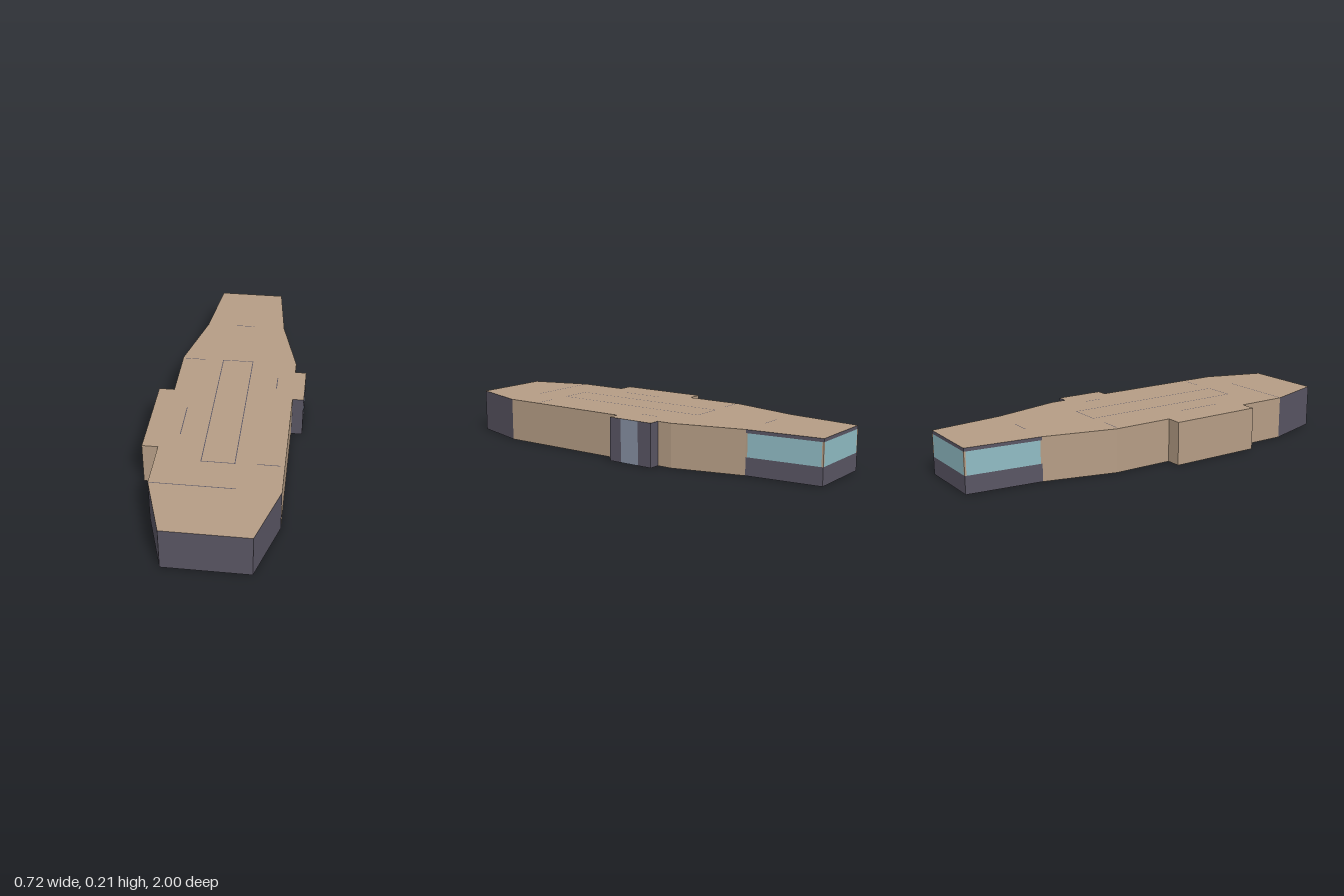
import * as THREE from 'three';

const H = 0.21;

export function createModel() {
  const make = (name, color) => {
    const m = new THREE.MeshStandardMaterial({ color });
    m.name = name;
    return m;
  };
  const tan = make('tan hull', 0xb59d85);
  const dark = make('dark plating', 0x595563);
  const glass = make('teal glass', 0x90bcc4);
  const door = make('blue grey door', 0x8690a3);

  const model = new THREE.Group();
  model.name = 'deckHull';
  const add = (name, geometry, material, parent = model) => {
    const mesh = new THREE.Mesh(geometry, material);
    mesh.name = name;
    parent.add(mesh);
    return mesh;
  };

  // Outline seen from above, starting at the bow: x, z, kind of the wall that follows
  const outline = [
    [-0.19, 1, 'bowWall'], [0.207, 1, 'bowWall'],
    [0.302, 0.705, 'sideWall'], [0.302, 0.013, 'airlockWall'],
    [0.357, 0.013, 'airlockDoorWall'], [0.357, -0.225, 'airlockWall'],
    [0.302, -0.225, 'sideWall'], [0.302, -0.3, 'sideWall'],
    [0.215, -0.642, 'windowWall'], [0.174, -1, 'windowWall'],
    [-0.16, -1, 'windowWall'], [-0.2, -0.642, 'sideWall'],
    [-0.285, -0.3, 'sideWall'], [-0.285, -0.005, 'sideWall'],
    [-0.36, -0.005, 'sideWall'], [-0.36, 0.455, 'sideWall'],
    [-0.285, 0.455, 'sideWall'], [-0.285, 0.705, 'bowWall'],
  ];

  // Each wall is tiled by panels: name, start and end along the wall (0..1), bottom, top, material
  const patterns = {
    bowWall: () => [['plating', 0, 1, 0, H, dark]],
    sideWall: () => [['hullPlate', 0, 1, 0, H, tan]],
    airlockWall: () => [['plating', 0, 1, 0, H, dark]],
    airlockDoorWall: () => [
      ['plating', 0, 0.27, 0, H, dark],
      ['door', 0.27, 0.69, 0, H, door],
      ['plating', 0.69, 1, 0, H, dark],
    ],
    windowWall: (length) => {
      const post = 0.008 / length;
      return [
        ['lowerBand', 0, 1, 0, 0.085, dark],
        ['windowPost', 0, post, 0.085, 0.194, tan],
        ['window', post, 1 - post, 0.085, 0.194, glass],
        ['windowPost', 1 - post, 1, 0.085, 0.194, tan],
        ['upperBand', 0, 1, 0.194, H, dark],
      ];
    },
  };

  outline.forEach(([x, z, kind], i) => {
    const [x2, z2] = outline[(i + 1) % outline.length];
    const dx = x2 - x, dz = z2 - z, length = Math.hypot(dx, dz);
    const wall = new THREE.Group();
    wall.name = kind;
    wall.position.set(x, 0, z);
    wall.rotation.y = Math.atan2(-dz, dx);
    model.add(wall);
    for (const [name, u0, u1, y0, y1, material] of patterns[kind](length)) {
      const panel = new THREE.PlaneGeometry((u1 - u0) * length, y1 - y0);
      panel.translate((u0 + u1) / 2 * length, (y0 + y1) / 2, 0);
      add(name, panel, material, wall);
    }
  });

  // Roof and underside share the outline
  const plan = (flip) => new THREE.ShapeGeometry(
    new THREE.Shape(outline.map(([x, z]) => new THREE.Vector2(x, flip * z))));
  add('roof', plan(-1).rotateX(-Math.PI / 2).translate(0, H, 0), tan);
  add('underside', plan(1).rotateX(Math.PI / 2), dark);

  // Thin seams where inner bulkheads meet the roof and the underside: x0, z0, x1, z1
  const seams = [
    [-0.28, 0.705, 0.1, 0.705],
    [-0.075, -0.295, 0.078, -0.295], [-0.075, 0.535, -0.075, -0.295],
    [0.078, 0.535, 0.078, -0.295], [-0.075, 0.535, 0.078, 0.535],
    [-0.198, 0.35, -0.198, 0.14],
    [-0.27, -0.29, -0.17, -0.29], [-0.053, -0.645, 0.05, -0.645],
    [0.18, 0.53, 0.28, 0.53], [0.217, -0.07, 0.217, -0.16],
  ];
  const width = 0.004;
  for (const [x0, z0, x1, z1] of seams) {
    const strip = () => new THREE.PlaneGeometry(Math.abs(x1 - x0) + width, Math.abs(z1 - z0) + width);
    const cx = (x0 + x1) / 2, cz = (z0 + z1) / 2;
    add('roofSeam', strip().rotateX(-Math.PI / 2).translate(cx, H + 0.0008, cz), dark);
    add('undersideSeam', strip().rotateX(Math.PI / 2).translate(cx, -0.0008, cz), tan);
  }
  return model;
}
